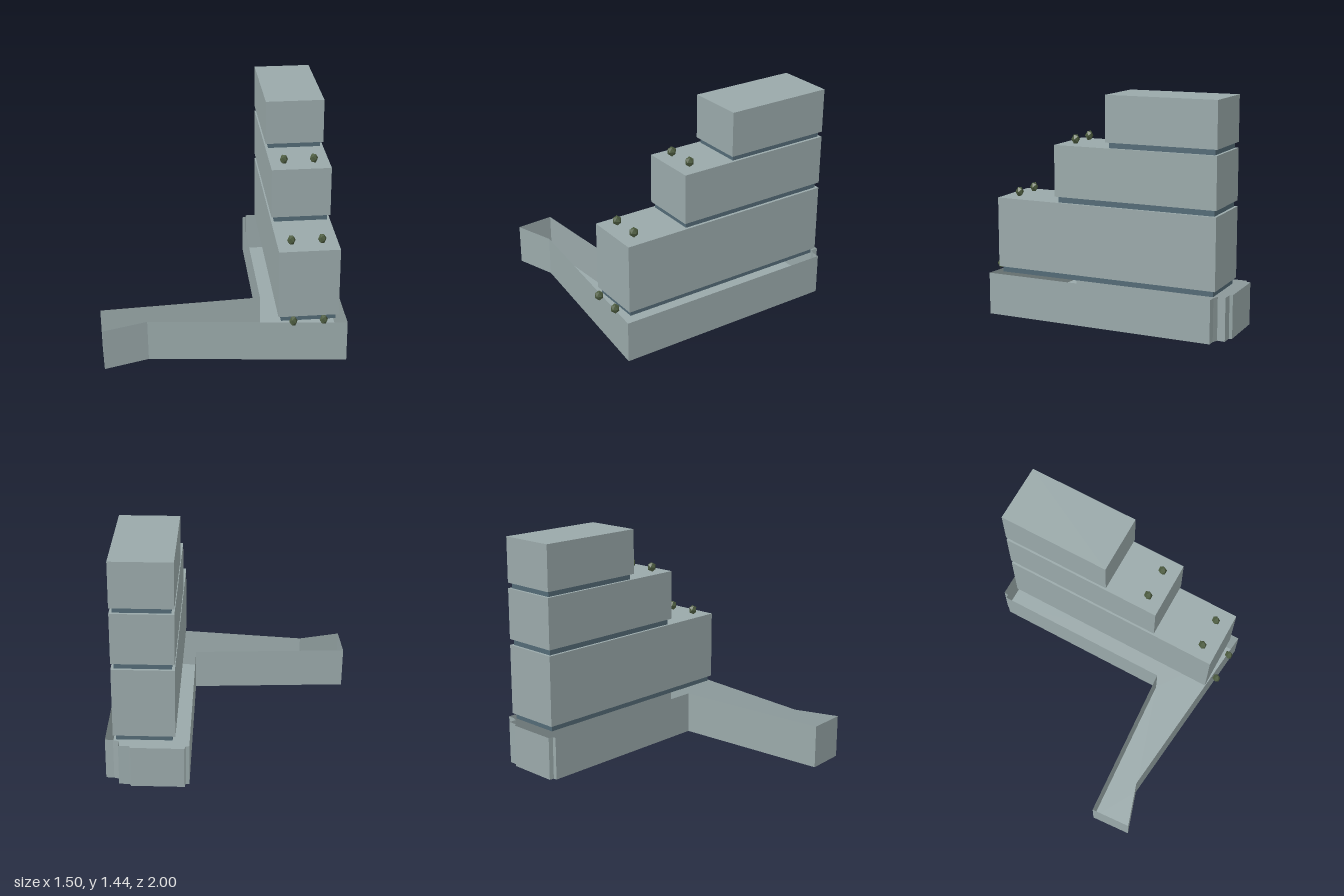
import * as THREE from 'three';

export function createModel() {
  const model = new THREE.Group();
  model.name = 'terracedBuilding';

  const wall = new THREE.MeshStandardMaterial({ color: 0x9aa9aa, side: THREE.DoubleSide });
  wall.name = 'greyCladding';
  const dark = new THREE.MeshStandardMaterial({ color: 0x536a76 });
  dark.name = 'blueGreyGlass';
  const green = new THREE.MeshStandardMaterial({ color: 0x4d5c40, flatShading: true });
  green.name = 'shrubGreen';

  const add = (parent, name, geometry, material, x = 0, y = 0, z = 0) => {
    const mesh = new THREE.Mesh(geometry, material);
    mesh.name = name;
    mesh.position.set(x, y, z);
    parent.add(mesh);
    return mesh;
  };

  // Plinth: an open tray with thin walls, [x, z] outline
  const baseHeight = 0.27;
  const outline = [
    [-0.75, 0.775], [-0.62, 0.995], [-0.415, 0.795], [0.745, 0.365],
    [0.075, -0.98], [0.03, -0.96], [-0.01, -0.955], [-0.03, -1.0],
    [-0.09, -0.972], [-0.105, -0.985], [-0.395, -0.84], [-0.385, -0.812],
    [-0.405, -0.8], [0.13, 0.265],
  ];
  const plinth = new THREE.Group();
  plinth.name = 'plinth';
  model.add(plinth);
  const floorShape = new THREE.Shape(outline.map(([x, z]) => new THREE.Vector2(x, -z)));
  add(plinth, 'plinthFloor', new THREE.ShapeGeometry(floorShape).rotateX(-Math.PI / 2), wall);
  outline.forEach(([x, z], i) => {
    const [nx, nz] = outline[(i + 1) % outline.length];
    const side = add(plinth, 'plinthWall',
      new THREE.PlaneGeometry(Math.hypot(nx - x, nz - z), baseHeight), wall,
      (x + nx) / 2, baseHeight / 2, (z + nz) / 2);
    side.rotation.y = -Math.atan2(nz - z, nx - x);
  });

  // Tower: stacked blocks sharing the same back edge, turned about y
  const tower = new THREE.Group();
  tower.name = 'tower';
  tower.position.set(-0.31, 0, -0.8);
  tower.rotation.y = Math.atan2(0.446, 0.895);
  model.add(tower);

  const width = 0.375, inset = 0.0175;
  const tiers = [
    { from: 0.27, bottom: 0.307, top: 0.755, length: 1.469 },
    { from: 0.755, bottom: 0.793, top: 1.116, length: 1.062 },
    { from: 1.116, bottom: 1.151, top: 1.438, length: 0.715 },
  ];
  for (const { from, bottom, top, length } of tiers) {
    // Recessed dark band below each block
    add(tower, 'recessedBand',
      new THREE.BoxGeometry(width - 2 * inset, bottom - from, length - 2 * inset), dark,
      width / 2, (from + bottom) / 2, length / 2);
    add(tower, 'storeyBlock', new THREE.BoxGeometry(width, top - bottom, length), wall,
      width / 2, (top + bottom) / 2, length / 2);
  }

  // Pairs of shrubs in front of each block
  const shrub = new THREE.IcosahedronGeometry(0.03).scale(0.86, 1.12, 0.98);
  const shrubs = [
    [0.442, 0.301, 0.515], [0.61, 0.301, 0.43],
    [0.378, 0.785, 0.387], [0.547, 0.785, 0.302],
    [0.198, 1.146, 0.025], [0.367, 1.146, -0.06],
  ];
  for (const [x, y, z] of shrubs) add(model, 'shrub', shrub, green, x, y, z);

  return model;
}
